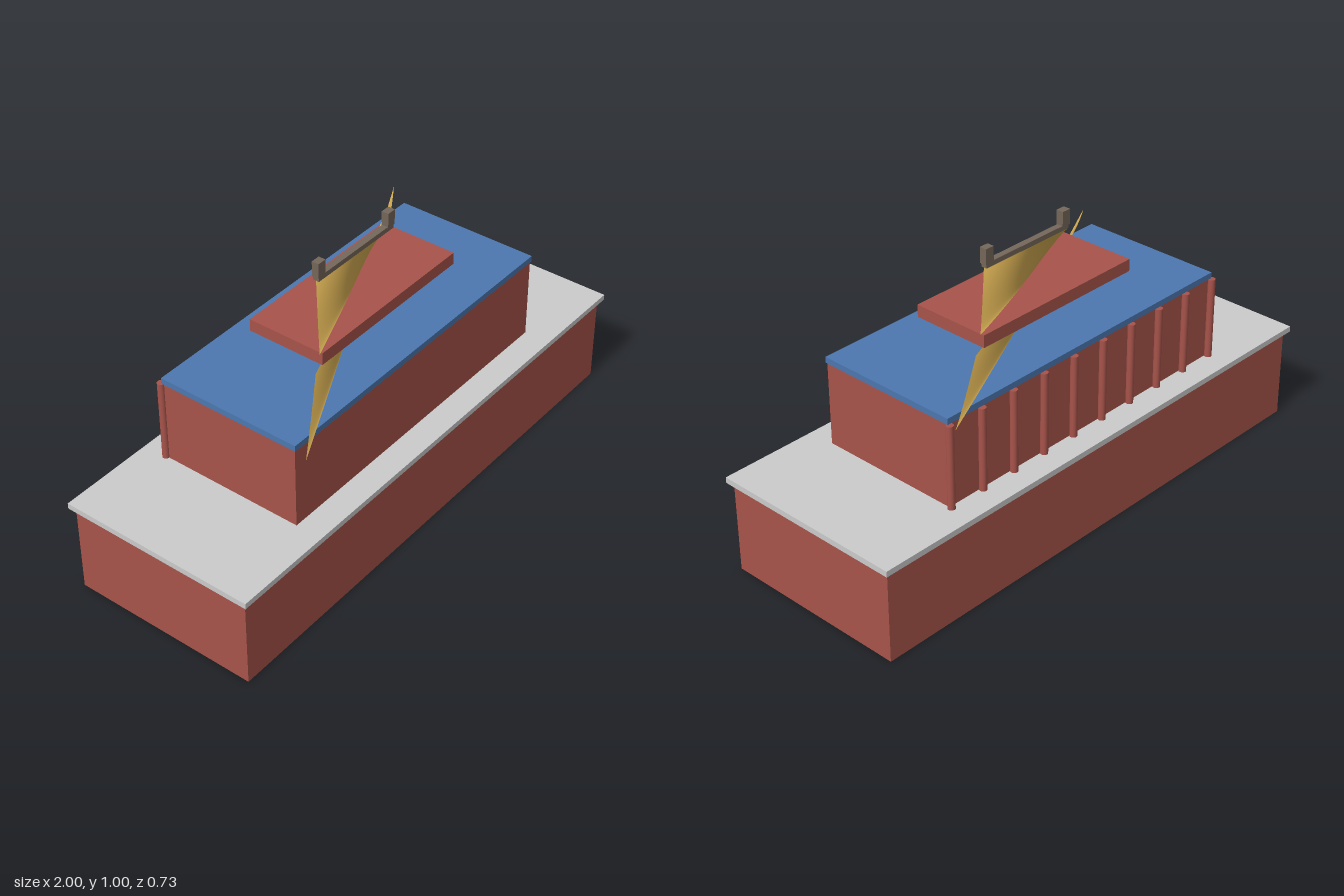
import * as THREE from 'three';

const material = (color, extra = {}) => new THREE.MeshStandardMaterial({ color, ...extra });

export function createModel() {
  const model = new THREE.Group();
  const red = material(0xa8544b);
  const stone = material(0xcccccc);
  const blue = material(0x4c78b0);
  const gold = material(0xd9b054, { side: THREE.DoubleSide });
  const ridgeBrown = material(0x75675a);

  function add(name, geometry, mat, x = 0, y = 0, z = 0) {
    const mesh = new THREE.Mesh(geometry, mat);
    mesh.name = name;
    mesh.position.set(x, y, z);
    model.add(mesh);
  }

  // Box given by half width, half depth and its bottom and top heights
  function block(name, halfX, halfZ, y0, y1, mat, x = 0) {
    add(name, new THREE.BoxGeometry(halfX * 2, y1 - y0, halfZ * 2), mat, x, (y0 + y1) / 2);
  }

  // Curved roof sheet stretched between opposite corners, with upturned tips
  function roof(name, { top, eave, y0, y1, lift }) {
    const geometry = new THREE.PlaneGeometry(2, 1, 32, 16);
    const p = geometry.attributes.position;
    for (let i = 0; i < p.count; i++) {
      const u = p.getX(i);
      const v = 0.5 - p.getY(i);
      const x = u * THREE.MathUtils.lerp(top[0], eave[0], v);
      const z = -u * THREE.MathUtils.lerp(top[1], eave[1], v);
      const y = y0 + (y1 - y0) * Math.pow(1 - v, 1.5) + lift * u * u * v;
      p.setXYZ(i, x, y, z);
    }
    geometry.computeVertexNormals();
    add(name, geometry, gold);
  }

  // Terrace and hall
  block('terraceBase', 0.983, 0.35, 0, 0.336, red);
  block('terraceSlab', 1, 0.367, 0.336, 0.357, stone);
  block('hall', 0.637, 0.268, 0.357, 0.66, red);
  block('hallBeam', 0.64, 0.272, 0.66, 0.682, blue);

  // Row of columns along the back wall
  for (let i = 0; i < 10; i++) {
    const geometry = new THREE.CylinderGeometry(0.0135, 0.0135, 0.303, 12);
    add(`column${i + 1}`, geometry, red, -0.637 + i * 0.1415, 0.5085, -0.277);
  }

  // Two roof tiers with the upper storey between them
  roof('lowerRoof', { top: [0.4, 0.16], eave: [0.687, 0.352], y0: 0.682, y1: 0.755, lift: 0.015 });
  block('upperStorey', 0.35, 0.147, 0.755, 0.8, red);
  roof('upperRoof', { top: [0.195, 0], eave: [0.38, 0.161], y0: 0.802, y1: 0.928, lift: 0.018 });

  // Ridge beam and its end ornaments
  block('ridge', 0.195, 0.0115, 0.926, 0.944, ridgeBrown);
  for (const side of [-1, 1]) {
    block('ridgeOrnament', 0.0175, 0.0135, 0.94, 0.996, ridgeBrown, side * 0.181);
  }

  return model;
}
